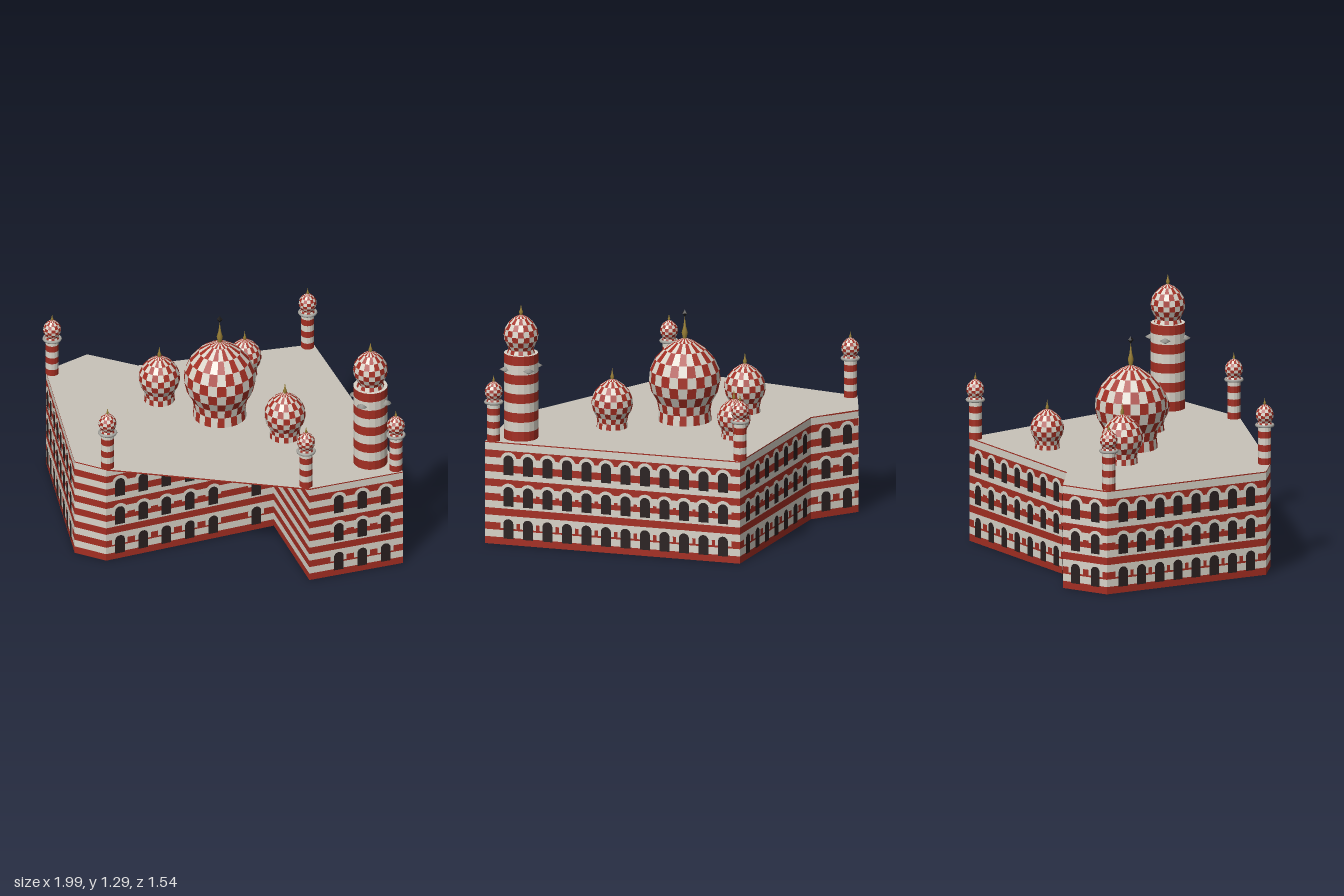
import * as THREE from 'three';

const mat = (name, color, side = THREE.FrontSide) => {
  const m = new THREE.MeshStandardMaterial({ color, side });
  m.name = name;
  return m;
};
const red = mat('brick red', 0xa42e22, THREE.DoubleSide);
const white = mat('pale stone', 0xd8d3c8, THREE.DoubleSide);
const dark = mat('window dark', 0x2a2020, THREE.DoubleSide);
const roofMat = mat('roof grey', 0xc8c3b9);
const gold = mat('gold', 0x9a8035);
const black = mat('black', 0x1c1a1a);
const grey = mat('collar grey', 0xa9a8a2);

const ROOF = 0.56;

function add(parent, name, geometry, material, x = 0, y = 0, z = 0) {
  const m = new THREE.Mesh(geometry, material);
  m.name = name;
  m.position.set(x, y, z);
  parent.add(m);
  return m;
}

// Faceted lathe whose quads are red (pick = 0) or white (pick = 1)
function revolve(profile, segs, pick) {
  const g = new THREE.LatheGeometry(profile.map(p => new THREE.Vector2(p[0], p[1])), segs);
  const src = g.index.array, rows = profile.length - 1, sets = [[], []];
  for (let i = 0; i < segs; i++)
    for (let j = 0; j < rows; j++) {
      const k = (i * rows + j) * 6;
      sets[pick(i, j)].push(...src.slice(k, k + 6));
    }
  g.setIndex([...sets[0], ...sets[1]]);
  g.addGroup(0, sets[0].length, 0);
  g.addGroup(sets[0].length, sets[1].length, 1);
  const flat = g.toNonIndexed();
  flat.computeVertexNormals();
  return flat;
}
const checker = (i, j) => (i + j) % 2;
const rings = (i, j) => j % 2;

// Spindle-shaped spike
function finial(parent, y, h, r) {
  const pts = [[r * 0.5, 0], [r, 0.3 * h], [r * 0.45, 0.55 * h], [0, h]];
  add(parent, 'finial', new THREE.LatheGeometry(pts.map(p => new THREE.Vector2(...p)), 8), gold, 0, y, 0);
}

// Checkered onion dome: neck, bulge and pointed crown, in unit radius and height
const ONION = [[0.75, 0], [0.72, 0.12], [0.77, 0.23], [0.93, 0.35], [1, 0.48], [0.97, 0.61],
  [0.83, 0.74], [0.58, 0.86], [0.27, 0.95], [0, 1]];
function dome(root, name, x, z, r, h, spike, segs) {
  const g = new THREE.Group();
  g.name = name;
  g.position.set(x, ROOF, z);
  add(g, 'onionDome', revolve(ONION.map(p => [p[0] * r, p[1] * h]), segs, checker), [red, white]);
  finial(g, h - 0.012, spike, r * 0.07 + 0.003);
  root.add(g);
  return g;
}

// Striped shaft with a flat top
function shaft(parent, r, h, bands, segs) {
  const pts = [];
  for (let i = 0; i <= bands; i++) pts.push([r, h * i / bands]);
  pts.push([0, h]);
  add(parent, 'shaft', revolve(pts, segs, rings), [red, white]);
}

// Checkered bulb that crowns a tower
const BULB = [[0.8, 0], [0.72, 0.1], [0.82, 0.2], [0.97, 0.34], [1, 0.48], [0.93, 0.63],
  [0.72, 0.78], [0.4, 0.91], [0, 1]];
const bulb = (parent, y, r, h, segs) =>
  add(parent, 'bulb', revolve(BULB.map(p => [p[0] * r, p[1] * h]), segs, checker), [red, white], 0, y, 0);

function minaret(root, x, z) {
  const g = new THREE.Group();
  g.name = 'minaret';
  g.position.set(x, ROOF, z);
  shaft(g, 0.035, 0.215, 6, 14);
  const ring = add(g, 'collar', new THREE.TorusGeometry(0.044, 0.008, 6, 16), grey, 0, 0.21, 0);
  ring.rotation.x = Math.PI / 2;
  bulb(g, 0.215, 0.048, 0.11, 14);
  finial(g, 0.318, 0.04, 0.007);
  root.add(g);
}

// Arched outline from y = bottom to springing height, closed by a half circle
function archShape(r, bottom, spring) {
  const s = new THREE.Shape();
  s.moveTo(-r, bottom);
  s.lineTo(r, bottom);
  s.lineTo(r, spring);
  s.absarc(0, spring, r, 0, Math.PI, false);
  return new THREE.ShapeGeometry(s, 6);
}

export function createModel() {
  const root = new THREE.Group();
  root.name = 'palace';

  // Wall corners, counter-clockwise from above; the fifth from the front is an inner corner
  const C = [[0.5, 0.75], [0.98, 0.535], [0.41, -0.75], [-0.5, -0.46], [-0.775, -0.555],
    [-0.98, -0.37], [-0.757, 0.56], [-0.585, 0.63], [0.27, 0.2]];
  const run = (first, last, n) => Array.from({ length: n }, (_, i) => first + (last - first) * i / (n - 1));
  // Window positions along each wall as fractions of its length
  const W = [run(0.31, 0.81, 3), run(0.0926, 0.935, 12), run(0.1, 0.9, 7), run(0.3, 0.75, 2), run(0.3, 0.75, 2),
    run(0.1, 0.9, 8), [], [0.08, 0.219, 0.356, 0.497, 0.637, 0.893], run(0.2, 0.85, 4)];
  const frameGeo = archShape(0.045, 0.055, 0.08);
  const paneGeo = archShape(0.0275, 0, 0.08);
  const wallH = ROOF - 0.006, stripes = 14;

  C.forEach((a, w) => {
    const b = C[(w + 1) % C.length];
    const dx = b[0] - a[0], dz = b[1] - a[1], len = Math.hypot(dx, dz);
    const g = new THREE.Group();
    g.name = 'wall';
    g.position.set((a[0] + b[0]) / 2, 0, (a[1] + b[1]) / 2);
    g.rotation.y = Math.atan2(-dz, dx);
    // Striped wall, bands counted from the top
    const plane = new THREE.PlaneGeometry(len, wallH, 1, stripes);
    for (let i = 0; i < stripes; i++) plane.addGroup(i * 6, 6, i % 2);
    add(g, 'stripedWall', plane, [white, red], 0, wallH / 2, 0);
    // Three rows of arched windows; the inner return wall carries them on its inside
    const win = new THREE.Group();
    win.name = 'windows';
    if (w === 8) win.rotation.y = Math.PI;
    for (const f of W[w])
      for (const y of [0.035, 0.212, 0.384]) {
        const x = (f - 0.5) * len;
        add(win, 'windowArch', frameGeo, white, x, y, 0.003);
        add(win, 'windowPane', paneGeo, dark, x, y, 0.006);
      }
    g.add(win);
    root.add(g);
  });

  // Roof slab with a red rim, spanning over the inner corner
  const outline = new THREE.Shape(C.slice(0, 8).map(p => new THREE.Vector2(p[0], -p[1])));
  const slab = new THREE.ExtrudeGeometry(outline, { depth: 0.008, bevelEnabled: false });
  slab.rotateX(-Math.PI / 2);
  add(root, 'roof', slab, [roofMat, red], 0, ROOF - 0.008, 0);

  // Domes
  const main = dome(root, 'mainDome', -0.03, 0.015, 0.19, 0.45, 0.13, 24);
  const tip = add(main, 'finialTip', new THREE.OctahedronGeometry(0.02), black, 0, 0.582, 0);
  tip.scale.set(0.8, 1, 0.8);
  dome(root, 'sideDome', -0.36, -0.12, 0.11, 0.265, 0.07, 20);
  dome(root, 'sideDome', 0.33, 0.21, 0.11, 0.265, 0.07, 20);
  dome(root, 'rearDome', 0.07, -0.415, 0.089, 0.215, 0.06, 20);

  // Minarets
  for (const [x, z] of [[0.38, -0.725], [-0.945, -0.35], [-0.58, 0.6], [0.48, 0.715], [0.94, 0.51]])
    minaret(root, x, z);

  // Great tower with small balconies
  const tower = new THREE.Group();
  tower.name = 'greatTower';
  tower.position.set(0.8, ROOF, 0.44);
  shaft(tower, 0.091, 0.465, 9, 18);
  for (let i = 0; i < 4; i++) {
    const t = i * Math.PI / 2 + 0.42;
    const b = add(tower, 'balcony', new THREE.SphereGeometry(0.03, 8, 2), grey,
      Math.cos(t) * 0.092, 0.383, Math.sin(t) * 0.092);
    b.scale.y = 0.55;
  }
  bulb(tower, 0.465, 0.092, 0.21, 18);
  finial(tower, 0.668, 0.06, 0.011);
  root.add(tower);

  return root;
}
